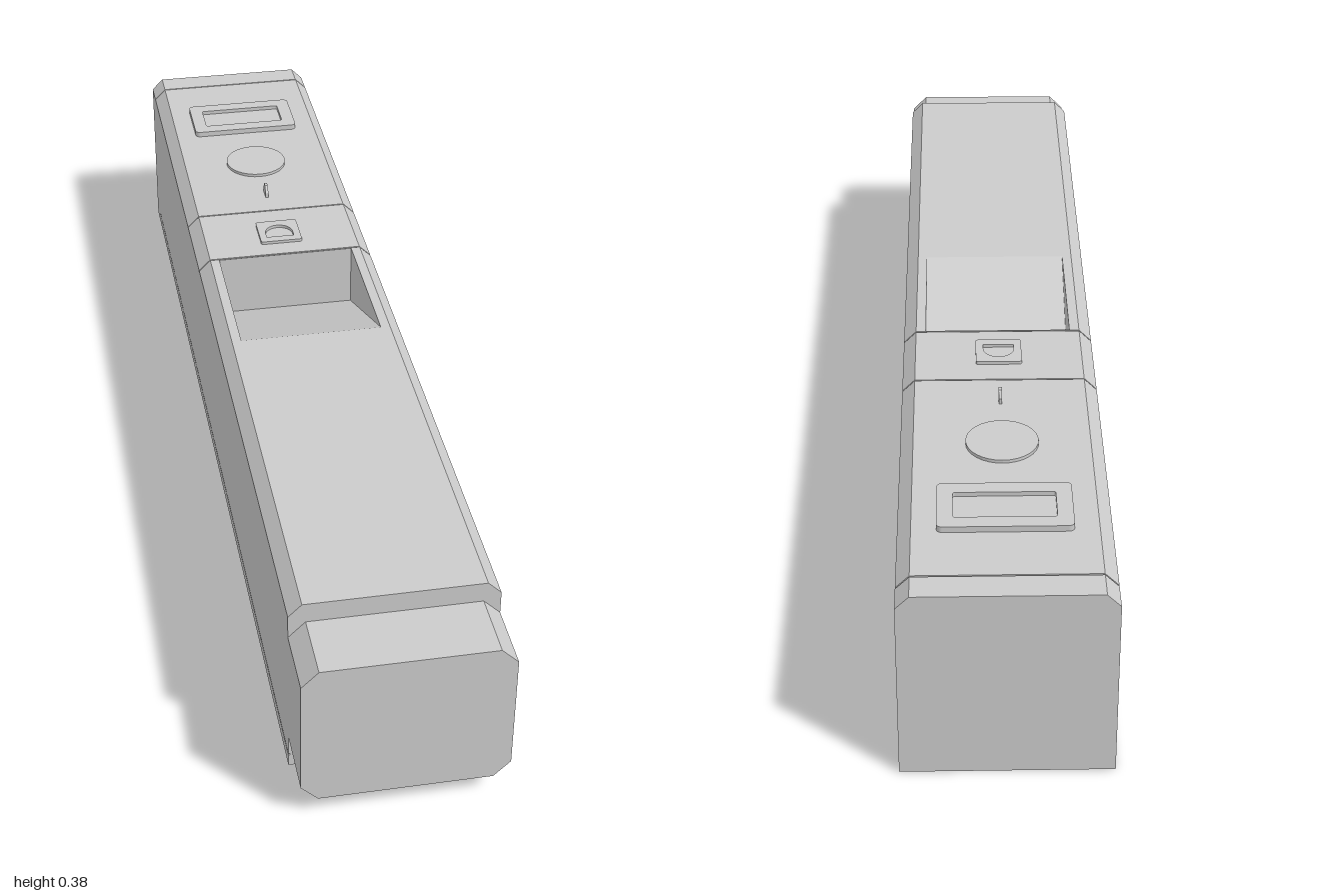
import * as THREE from 'three';

const W = 0.176, H = 0.353, FRONT = 0.88, BACK = -1;
const POCKET = { x: 0.135, back: -0.18, front: 0.115, floor: 0.228 };
const GAP = 0.003; // seam width and depth
const SEAMS = [-0.948, -0.36, -0.185];

const material = new THREE.MeshStandardMaterial({ color: 0xcccccc, flatShading: true });

function add(parent, name, geometry, x = 0, y = 0, z = 0) {
  const mesh = new THREE.Mesh(geometry, material);
  mesh.name = name;
  mesh.position.set(x, y, z);
  parent.add(mesh);
  return mesh;
}

const polygon = (points) => new THREE.Shape(points.map(([x, y]) => new THREE.Vector2(x, y)));

const extrude = (shape, depth) =>
  new THREE.ExtrudeGeometry(shape, { depth, bevelEnabled: false, curveSegments: 10 });

// Plate lying flat, its outline drawn in x and -z
const plate = (shape, height) => extrude(shape, height).rotateX(-Math.PI / 2);

function roundedRect(w, d, r, Type = THREE.Shape) {
  const s = new Type();
  const x = w / 2, y = d / 2;
  s.absarc(x - r, y - r, r, 0, Math.PI / 2);
  s.absarc(-x + r, y - r, r, Math.PI / 2, Math.PI);
  s.absarc(-x + r, -y + r, r, Math.PI, 1.5 * Math.PI);
  s.absarc(x - r, -y + r, r, 1.5 * Math.PI, 2 * Math.PI);
  s.closePath();
  return s;
}

// Middle of the body: side outline with the wedge pocket and seam notches, extruded across x
function coreGeometry() {
  const points = [[FRONT, 0], [FRONT, H], [POCKET.front, H], [POCKET.back, POCKET.floor], [POCKET.back, H]];
  for (const z of [...SEAMS].reverse()) {
    points.push([z + GAP, H], [z + GAP, H - GAP], [z, H - GAP], [z, H]);
  }
  points.push([BACK, H], [BACK, 0], [-0.943, 0], [-0.943, GAP], [-0.94, GAP], [-0.94, 0]);
  return extrude(polygon(points.map(([z, y]) => [-z, y])), 2 * POCKET.x)
    .rotateY(Math.PI / 2)
    .translate(-POCKET.x, 0, 0);
}

// One length of side rail with its chamfered top edge and optional low groove
function railGeometry(side, z0, z1, drop, groove) {
  const points = [[POCKET.x, 0], [W, 0]];
  if (groove) points.push([W, 0.023], [W - GAP, 0.023], [W - GAP, 0.026], [W, 0.026]);
  points.push([W, 0.33 - drop], [0.153, H - drop], [POCKET.x, H - drop]);
  return extrude(polygon(points.map(([x, y]) => [side * x, y])), z1 - z0).translate(0, 0, z0);
}

export function createModel() {
  const model = new THREE.Group();
  model.name = 'handheldDevice';

  // Body
  const body = new THREE.Group();
  body.name = 'body';
  model.add(body);
  add(body, 'bodyCore', coreGeometry());
  const cuts = [BACK, ...SEAMS.flatMap((z) => [z, z + GAP]), FRONT];
  for (const side of [-1, 1]) {
    for (let i = 0; i < cuts.length - 1; i++) {
      const drop = i % 2 ? GAP : 0;
      add(body, side > 0 ? 'leftRail' : 'rightRail', railGeometry(side, cuts[i], cuts[i + 1], drop, i > 0));
    }
  }

  // Front nose with four chamfered edges
  const c = 0.029, y0 = 0.038, y1 = 0.316;
  const nose = polygon([
    [-W + c, y0], [W - c, y0], [W, y0 + c], [W, y1 - c],
    [W - c, y1], [-W + c, y1], [-W, y1 - c], [-W, y0 + c],
  ]);
  add(model, 'nose', extrude(nose, 0.12), 0, 0, FRONT);

  // Display frame around a recessed window
  const frame = roundedRect(0.224, 0.125, 0.01);
  frame.holes.push(roundedRect(0.17, 0.07, 0.004, THREE.Path));
  add(model, 'displayFrame', plate(frame, 0.011), 0, H, -0.768);
  add(model, 'displayWindow', new THREE.BoxGeometry(0.17, 0.003, 0.07), 0, H + 0.0015, -0.768);

  // Round button
  add(model, 'roundButton', new THREE.CylinderGeometry(0.063, 0.063, 0.006, 32), 0, H + 0.003, -0.568);

  // Thin upright sight fin
  const fin = polygon([[-0.014, 0], [0.014, 0], [0.014, 0.01], [0.005, 0.024], [-0.005, 0.024], [-0.014, 0.01]]);
  add(model, 'sightFin', extrude(fin, 0.006).rotateY(Math.PI / 2).translate(-0.003, 0, 0), 0, H, -0.428);

  // Square button with an arched recess
  const button = roundedRect(0.084, 0.08, 0.005);
  const arch = new THREE.Path();
  arch.moveTo(-0.028, -0.022);
  arch.lineTo(0.028, -0.022);
  arch.absarc(0, -0.006, 0.028, 0, Math.PI);
  arch.closePath();
  button.holes.push(arch);
  add(model, 'squareButton', plate(button, 0.006), 0, H, -0.265);

  return model;
}
